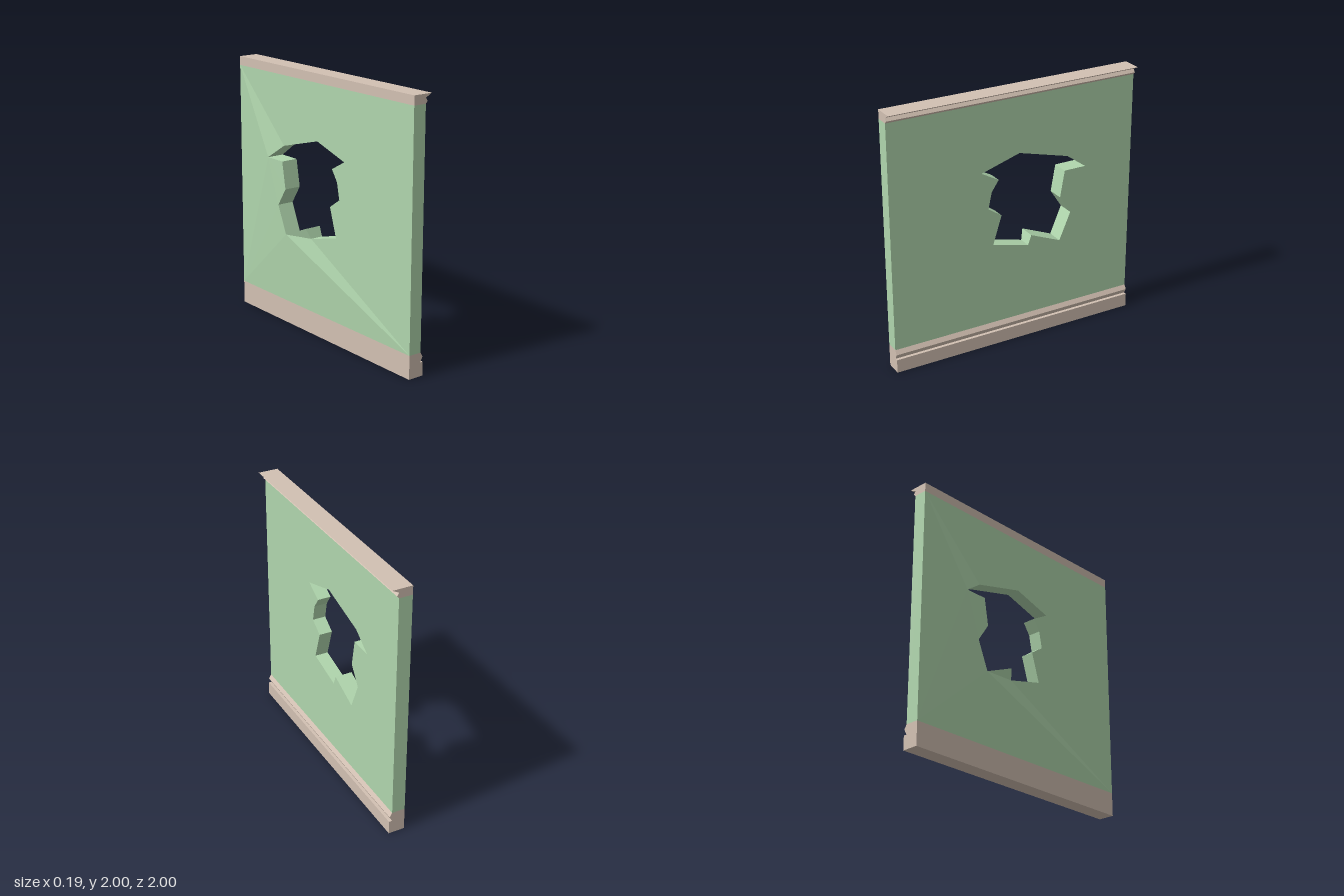
import * as THREE from 'three';

const green = new THREE.MeshStandardMaterial({ color: 0xb0d6ad, flatShading: true });
const beige = new THREE.MeshStandardMaterial({ color: 0xd2c0b2, flatShading: true });

const BACK = -0.062, FACE = 0.04;

const toVectors = (points) => points.map(([x, y]) => new THREE.Vector2(x, y));

// Jagged hole outline as [-z, y, optional outward bulge on the back face]
const HOLE = [
  [-0.276, 1.41], [0.035, 1.505], [0.44, 1.397], [0.597, 1.285, 0.034],
  [0.42, 1.285, 0.032], [0.383, 1.077, 0.032], [0.475, 0.937, 0.032],
  [0.383, 0.723, 0.03], [0.137, 0.826, 0.03], [0.11, 0.75], [-0.185, 0.825],
  [-0.115, 1.047], [-0.222, 1.12], [-0.195, 1.248], [-0.137, 1.333],
];

// Wall slab with the broken opening, its back edge pushed outward
function wallPanel() {
  const shape = new THREE.Shape(toVectors([[-1, 0.178], [1, 0.178], [1, 1.932], [-1, 1.932]]));
  shape.holes.push(new THREE.Path(toVectors(HOLE)));
  const geo = new THREE.ExtrudeGeometry(shape, { depth: FACE - BACK, bevelEnabled: false });
  const pos = geo.attributes.position;
  for (let i = 0; i < pos.count; i++) {
    if (pos.getZ(i) > 0.001) continue;
    const hit = HOLE.find(([u, y]) => Math.hypot(u - pos.getX(i), y - pos.getY(i)) < 0.002);
    if (hit && hit[2]) pos.setZ(i, -hit[2]);
  }
  geo.rotateY(Math.PI / 2).translate(BACK, 0, 0);
  geo.computeVertexNormals();
  return new THREE.Mesh(geo, green);
}

// Trim strip running the full length of the wall
function trim(profile) {
  const geo = new THREE.ExtrudeGeometry(new THREE.Shape(toVectors(profile)), { depth: 2, bevelEnabled: false });
  geo.translate(0, 0, -1);
  return new THREE.Mesh(geo, beige);
}

export function createModel() {
  const group = new THREE.Group();
  group.name = 'brokenWall';

  const panel = wallPanel();
  panel.name = 'wallPanel';

  // Skirting with a small bead above it
  const skirting = trim([
    [BACK, 0], [0.063, 0], [0.063, 0.105], [0.038, 0.105], [0.06, 0.145], [FACE, 0.178], [BACK, 0.178],
  ]);
  skirting.name = 'skirting';

  // Cornice flaring out at the top
  const cornice = trim([
    [BACK, 1.932], [FACE, 1.932], [0.056, 1.95], [0.04, 1.973], [0.092, 2], [BACK, 2],
  ]);
  cornice.name = 'cornice';

  group.add(panel, skirting, cornice);
  return group;
}
